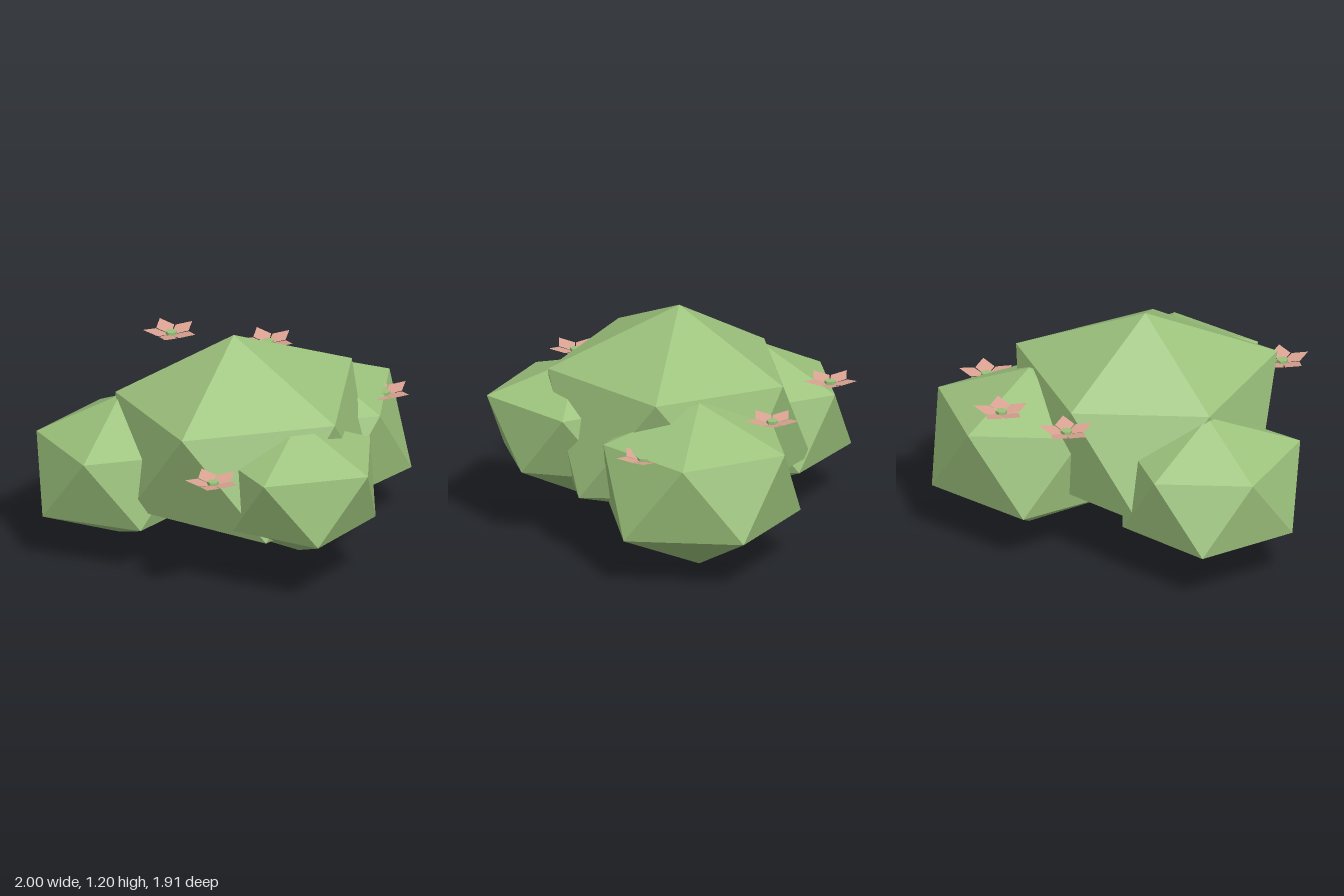
import * as THREE from 'three';

// Faceted clump: a 12-cornered ball whose corners are pushed in or out.
// Each radius is the horizontal reach of a corner; rings sit at 0.4 of it up or down.
function clumpGeometry(top, bottom, upperRadii, lowerRadii) {
  const ring = (radii, phase, lift) => radii.map((r, i) => {
    const a = (i * 72 + phase) * Math.PI / 180;
    return [r * Math.cos(a), r * lift, r * Math.sin(a)];
  });
  const u = ring(upperRadii, 0, 0.4);
  const l = ring(lowerRadii, 36, -0.4);
  const t = [0, top, 0], b = [0, -bottom, 0];
  const pos = [];
  for (let i = 0; i < 5; i++) {
    const j = (i + 1) % 5;
    pos.push(...t, ...u[j], ...u[i]);
    pos.push(...u[i], ...u[j], ...l[i]);
    pos.push(...l[i], ...u[j], ...l[j]);
    pos.push(...b, ...l[i], ...l[j]);
  }
  const g = new THREE.BufferGeometry();
  g.setAttribute('position', new THREE.Float32BufferAttribute(pos, 3));
  g.computeVertexNormals();
  return g;
}

// Five upturned kite-shaped petals
function petalGeometry() {
  const pos = [];
  for (let i = 0; i < 5; i++) {
    const a = (-82 + i * 72) * Math.PI / 180;
    const at = (along, side) => [
      along * Math.cos(a) - side * Math.sin(a), along * 0.23,
      along * Math.sin(a) + side * Math.cos(a)];
    const root = at(0, 0), left = at(0.075, -0.05), right = at(0.075, 0.05), tip = at(0.145, 0);
    pos.push(...root, ...right, ...tip, ...root, ...tip, ...left);
  }
  const g = new THREE.BufferGeometry();
  g.setAttribute('position', new THREE.Float32BufferAttribute(pos, 3));
  g.computeVertexNormals();
  return g;
}

export function createModel() {
  const model = new THREE.Group();
  model.name = 'floweringBush';

  const leafGreen = new THREE.MeshStandardMaterial({ color: 0x9cc27c, flatShading: true });
  leafGreen.name = 'leafGreen';
  const petalPink = new THREE.MeshStandardMaterial({ color: 0xdba392, flatShading: true, side: THREE.DoubleSide });
  petalPink.name = 'petalPink';

  // Foliage clumps: name, centre, top, bottom, upper ring, lower ring
  const clumps = [
    ['mainFoliage', [-0.06, 0.616, -0.01], 0.584, 0.536,
      [0.71, 0.68, 0.70, 0.608, 0.60], [0.717, 0.70, 0.62, 0.68, 0.65]],
    ['leftFoliage', [0.5, 0.48, -0.21], 0.40, 0.475,
      [0.50, 0.495, 0.50, 0.50, 0.495], [0.54, 0.53, 0.53, 0.525, 0.515]],
    ['frontFoliage', [0.01, 0.537, 0.51], 0.365, 0.362,
      [0.43, 0.465, 0.47, 0.45, 0.44], [0.395, 0.42, 0.395, 0.41, 0.41]],
    ['rightFoliage', [-0.535, 0.457, -0.35], 0.388, 0.382,
      [0.47, 0.47, 0.49, 0.428, 0.432], [0.45, 0.45, 0.465, 0.47, 0.45]],
  ];
  for (const [name, centre, top, bottom, upper, lower] of clumps) {
    const mesh = new THREE.Mesh(clumpGeometry(top, bottom, upper, lower), leafGreen);
    mesh.name = name;
    mesh.position.set(...centre);
    model.add(mesh);
  }

  // Flowers with a six-sided green heart
  const petals = petalGeometry();
  const heart = new THREE.CylinderGeometry(0.03, 0.03, 0.026, 6);
  const flowers = [[0.06, 0.86, -0.815], [0.505, 0.79, -0.59], [-0.57, 0.72, 0.615], [0.825, 0.665, 0.025]];
  flowers.forEach((p, i) => {
    const flower = new THREE.Group();
    flower.name = `flower${i + 1}`;
    const petalMesh = new THREE.Mesh(petals, petalPink);
    petalMesh.name = 'petals';
    const heartMesh = new THREE.Mesh(heart, leafGreen);
    heartMesh.name = 'flowerHeart';
    heartMesh.position.y = 0.008;
    flower.add(petalMesh, heartMesh);
    flower.position.set(...p);
    model.add(flower);
  });

  return model;
}
